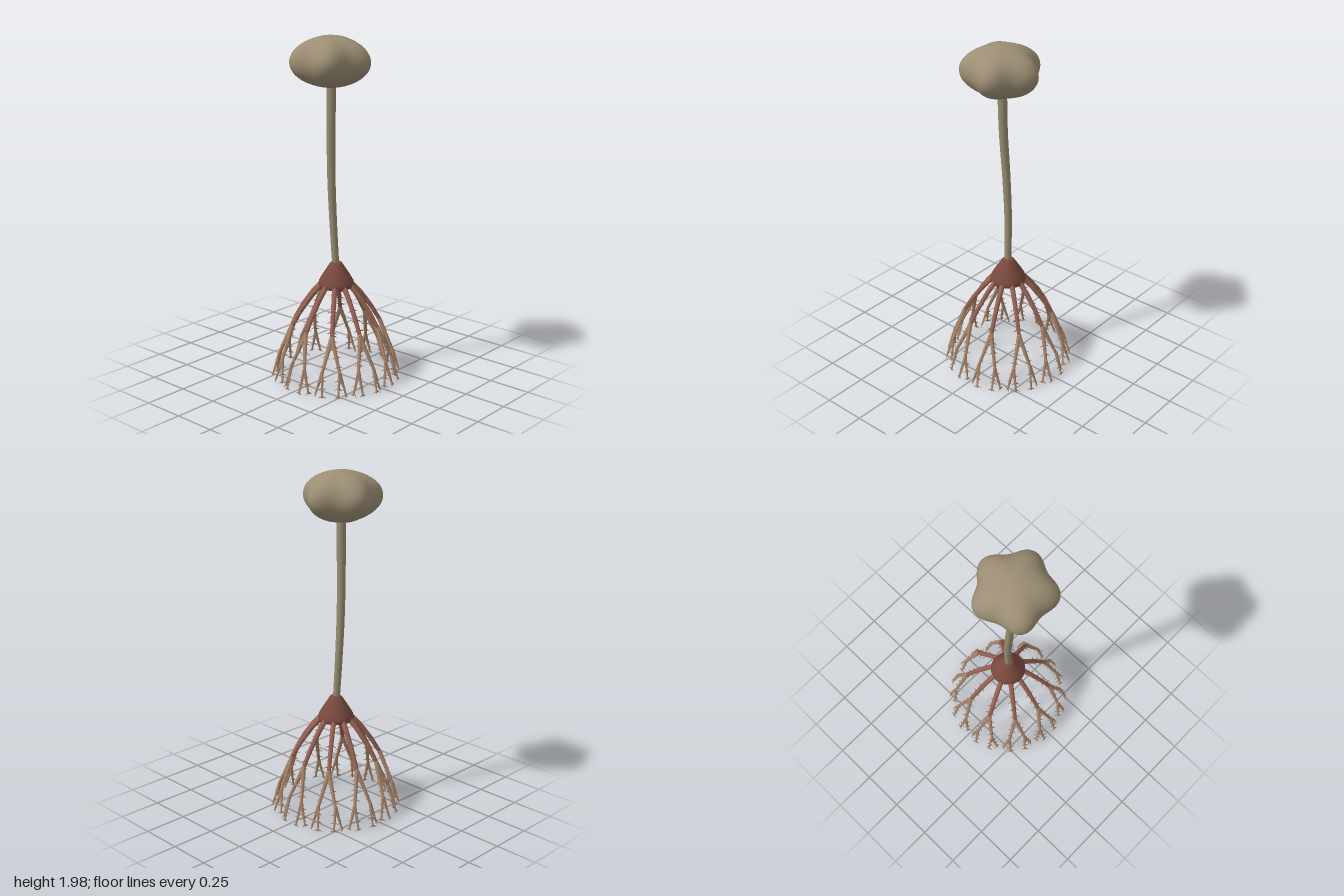
import * as THREE from 'three';
import { mergeGeometries } from 'three/addons/utils/BufferGeometryUtils.js';

const material = (name, color) => {
  const m = new THREE.MeshStandardMaterial({ color });
  m.name = name;
  return m;
};
const V = (x, y, z) => new THREE.Vector3(x, y, z);
const UP = V(0, 1, 0);

// Point at a horizontal angle (degrees), radius and height
function polar(deg, r, y) {
  const a = THREE.MathUtils.degToRad(deg);
  return V(Math.cos(a) * r, y, -Math.sin(a) * r);
}

// Tapered rod between two points
function rod(a, b, r0, r1, sides) {
  const d = b.clone().sub(a);
  const g = new THREE.CylinderGeometry(r1, r0, d.length(), sides);
  g.applyQuaternion(new THREE.Quaternion().setFromUnitVectors(UP, d.normalize()));
  const mid = a.clone().lerp(b, 0.5);
  return g.translate(mid.x, mid.y, mid.z);
}

// Round joint between rods
const joint = (p, r) => new THREE.SphereGeometry(r, 8, 6).translate(p.x, p.y, p.z);

// Pairs of level side spikes along a straight piece of arm
function spikes(list, a, b, stops, length) {
  const d = b.clone().sub(a).normalize();
  const side = d.clone().cross(UP).normalize();
  for (const t of stops) {
    const p = a.clone().lerp(b, t);
    for (const s of [-1, 1]) {
      const dir = side.clone().multiplyScalar(s * 0.9).addScaledVector(d, 0.42).normalize();
      list.push(rod(p, p.clone().addScaledVector(dir, length), 0.0055, 0.0004, 5));
    }
  }
}

// Five-lobed float: a squashed sphere with a wavy outline
function floatGeometry() {
  const g = new THREE.SphereGeometry(1, 60, 32);
  const p = g.attributes.position;
  for (let i = 0; i < p.count; i++) {
    const x = p.getX(i), y = p.getY(i), z = p.getZ(i);
    const flat = Math.hypot(x, z);
    const r = 0.209 * (1 + 0.1 * flat * Math.cos(5 * Math.atan2(z, x)));
    p.setXYZ(i, x * r, y * 0.142, z * r);
  }
  g.computeVertexNormals();
  // Smooth the seam
  const n = g.attributes.normal;
  for (let row = 0; row <= 32; row++) {
    const i = row * 61, j = i + 60;
    const m = V(n.getX(i) + n.getX(j), n.getY(i) + n.getY(j), n.getZ(i) + n.getZ(j)).normalize();
    n.setXYZ(i, m.x, m.y, m.z);
    n.setXYZ(j, m.x, m.y, m.z);
  }
  return g;
}

export function createModel() {
  const model = new THREE.Group();
  const floatMat = material('float olive', 0x9c8e74);
  const stemMat = material('stem olive', 0x998d72);
  const cupMat = material('cup maroon', 0x7a4a3e);
  const armMat = material('arm red brown', 0x976253);
  const branchMat = material('branch tan', 0xa9866c);
  const add = (name, geometry, mat) => {
    const mesh = new THREE.Mesh(geometry, mat);
    mesh.name = name;
    model.add(mesh);
    return mesh;
  };

  add('float', floatGeometry(), floatMat).position.set(-0.044, 1.858, 0);

  // Gently bent stem, thicker towards the float
  const curve = new THREE.CatmullRomCurve3([
    V(-0.003, 0.68, 0), V(-0.011, 0.95, -0.013), V(-0.025, 1.22, -0.014),
    V(-0.038, 1.5, -0.004), V(-0.042, 1.78, 0.001),
  ]);
  const stem = new THREE.TubeGeometry(curve, 40, 1, 14);
  const p = stem.attributes.position;
  for (let i = 0; i < p.count; i++) {
    const t = Math.floor(i / 15) / 40;
    const c = curve.getPointAt(t);
    const v = V(p.getX(i), p.getY(i), p.getZ(i)).sub(c).multiplyScalar(0.02 + 0.007 * t).add(c);
    p.setXYZ(i, v.x, v.y, v.z);
  }
  add('stem', stem, stemMat);

  // Cone-shaped cup with a rounded rim
  const profile = [[0, 0.572], [0.05, 0.566], [0.085, 0.558], [0.1, 0.564], [0.104, 0.576],
    [0.099, 0.597], [0.079, 0.632], [0.056, 0.668], [0.036, 0.7], [0.026, 0.709], [0, 0.71]];
  add('cup', new THREE.LatheGeometry(profile.map(([x, y]) => new THREE.Vector2(x, y)), 32), cupMat);

  // Ten arms, each forking twice
  const arms = [], branches = [], armSpikes = [], branchSpikes = [];
  for (let k = 0; k < 10; k++) {
    const deg = k * 36;
    const path = [[0.08, 0.585], [0.14, 0.52], [0.205, 0.432], [0.26, 0.34]].map(([r, y]) => polar(deg, r, y));
    const radii = [0.016, 0.0145, 0.013, 0.0115];
    for (let i = 0; i < 3; i++) {
      arms.push(rod(path[i], path[i + 1], radii[i], radii[i + 1], 8));
      if (i) arms.push(joint(path[i], radii[i]));
    }
    const fork = path[3];
    spikes(armSpikes, path[1], path[2], [0.55], 0.036);
    spikes(armSpikes, path[2], fork, [0.1, 0.65], 0.036);
    branches.push(joint(fork, 0.0135));
    for (const s of [-1, 1]) {
      const split = polar(deg + s * 8.5, 0.331, 0.16);
      branches.push(rod(fork, split, 0.013, 0.0085, 7), joint(split, 0.0105));
      spikes(branchSpikes, fork, split, [0.25, 0.52, 0.8], 0.031);
      for (const [offset, r] of [[7, 0.374], [14.8, 0.348]]) {
        const tip = polar(deg + s * offset, r, 0.026);
        branches.push(rod(split, tip, 0.01, 0.0045, 6));
        spikes(branchSpikes, split, tip, [0.28, 0.6, 0.92], 0.026);
      }
    }
  }
  add('arms', mergeGeometries(arms), armMat);
  add('armSpikes', mergeGeometries(armSpikes), armMat);
  add('branches', mergeGeometries(branches), branchMat);
  add('branchSpikes', mergeGeometries(branchSpikes), branchMat);
  return model;
}
